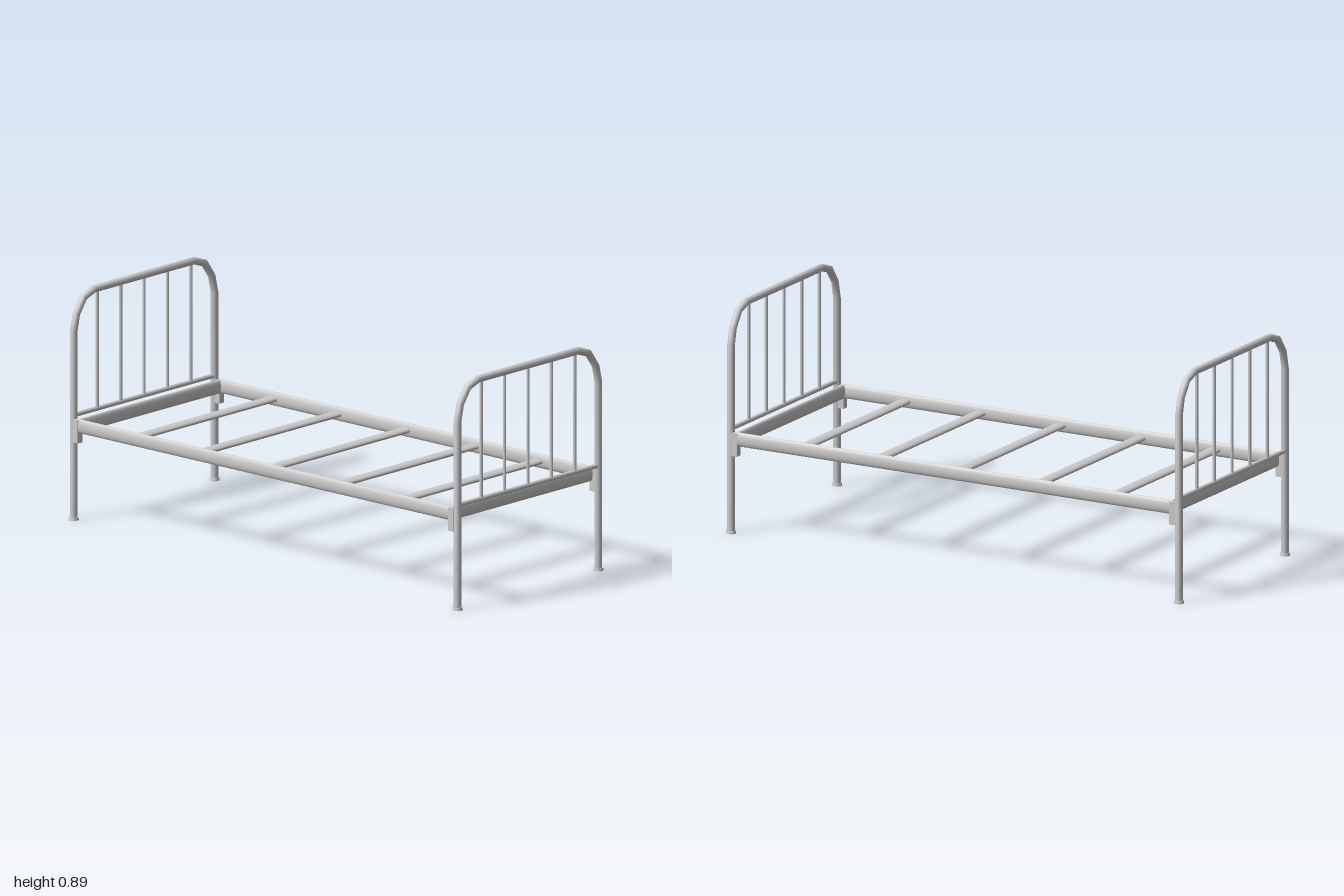
import * as THREE from 'three';

const material = new THREE.MeshStandardMaterial({ color: 0xcccccc });
const RAIL_Y = 0.372, POST_X = 0.394, END_Z = 0.98;

// Path through a few points, with bisected tangents so that bends stay faceted
class BentPath extends THREE.Curve {
  constructor(points) {
    super();
    this.points = points;
  }
  index(u) {
    return Math.round(u * (this.points.length - 1));
  }
  getPointAt(u) {
    return this.points[this.index(u)].clone();
  }
  getTangentAt(u) {
    const i = this.index(u), p = this.points, here = p[i];
    const before = p[i - 1] ? here.clone().sub(p[i - 1]).normalize() : new THREE.Vector3();
    const after = p[i + 1] ? p[i + 1].clone().sub(here).normalize() : new THREE.Vector3();
    return before.add(after).normalize();
  }
}

function add(parent, name, geometry, x = 0, y = 0, z = 0) {
  const mesh = new THREE.Mesh(geometry, material);
  mesh.name = name;
  mesh.position.set(x, y, z);
  parent.add(mesh);
  return mesh;
}

// Bar along x with an elliptical section: half height ry, half depth rz
function barX(length, ry, rz) {
  return new THREE.CylinderGeometry(1, 1, length, 20).rotateZ(Math.PI / 2).scale(1, ry, rz);
}

// Arched end frame with spindles, legs and feet
function endFrame(name) {
  const frame = new THREE.Group();
  frame.name = name;

  const half = [[POST_X, 0], [POST_X, 0.733], [0.379, 0.8], [0.338, 0.858], [0.28, 0.879]];
  const outline = [...half.map(([x, y]) => [-x, y]), ...half.slice().reverse()];
  const points = outline.map(([x, y]) => new THREE.Vector3(x, y, 0));
  add(frame, 'archedTube', new THREE.TubeGeometry(new BentPath(points), points.length - 1, 0.0145, 16));

  add(frame, 'lowerCrossbar', barX(0.77, 0.009, 0.009), 0, 0.409);
  for (let i = -2; i <= 2; i++) {
    add(frame, 'spindle', new THREE.CylinderGeometry(0.0065, 0.0065, 0.465, 12), i * 0.131, 0.6405);
  }
  for (const side of [-1, 1]) {
    add(frame, 'foot', new THREE.CylinderGeometry(0.018, 0.02, 0.011, 16), side * POST_X, 0.0055);
  }
  return frame;
}

export function createModel() {
  const bed = new THREE.Group();
  bed.name = 'bedFrame';

  for (const end of [-1, 1]) {
    const frame = endFrame(end < 0 ? 'headboard' : 'footboard');
    frame.position.z = end * END_Z;
    bed.add(frame);

    // End rail and the brackets that tie the side rails to the posts
    add(bed, 'endRail', barX(0.77, 0.0275, 0.011), 0, RAIL_Y, end * 0.95);
    for (const side of [-1, 1]) {
      add(bed, 'bracket', new THREE.BoxGeometry(0.026, 0.09, 0.027), side * 0.396, 0.351, end * 0.959);
    }
  }

  // Long side rails
  for (const side of [-1, 1]) {
    const rail = new THREE.CylinderGeometry(1, 1, 1.92, 20).rotateX(Math.PI / 2).scale(0.011, 0.0275, 1);
    add(bed, side < 0 ? 'rightRail' : 'leftRail', rail, side * 0.397, RAIL_Y);
  }

  // Flattened cross slats
  for (const z of [-0.678, -0.35, 0, 0.35, 0.678]) {
    add(bed, 'slat', barX(0.78, 0.011, 0.025), 0, RAIL_Y, z);
  }
  return bed;
}
